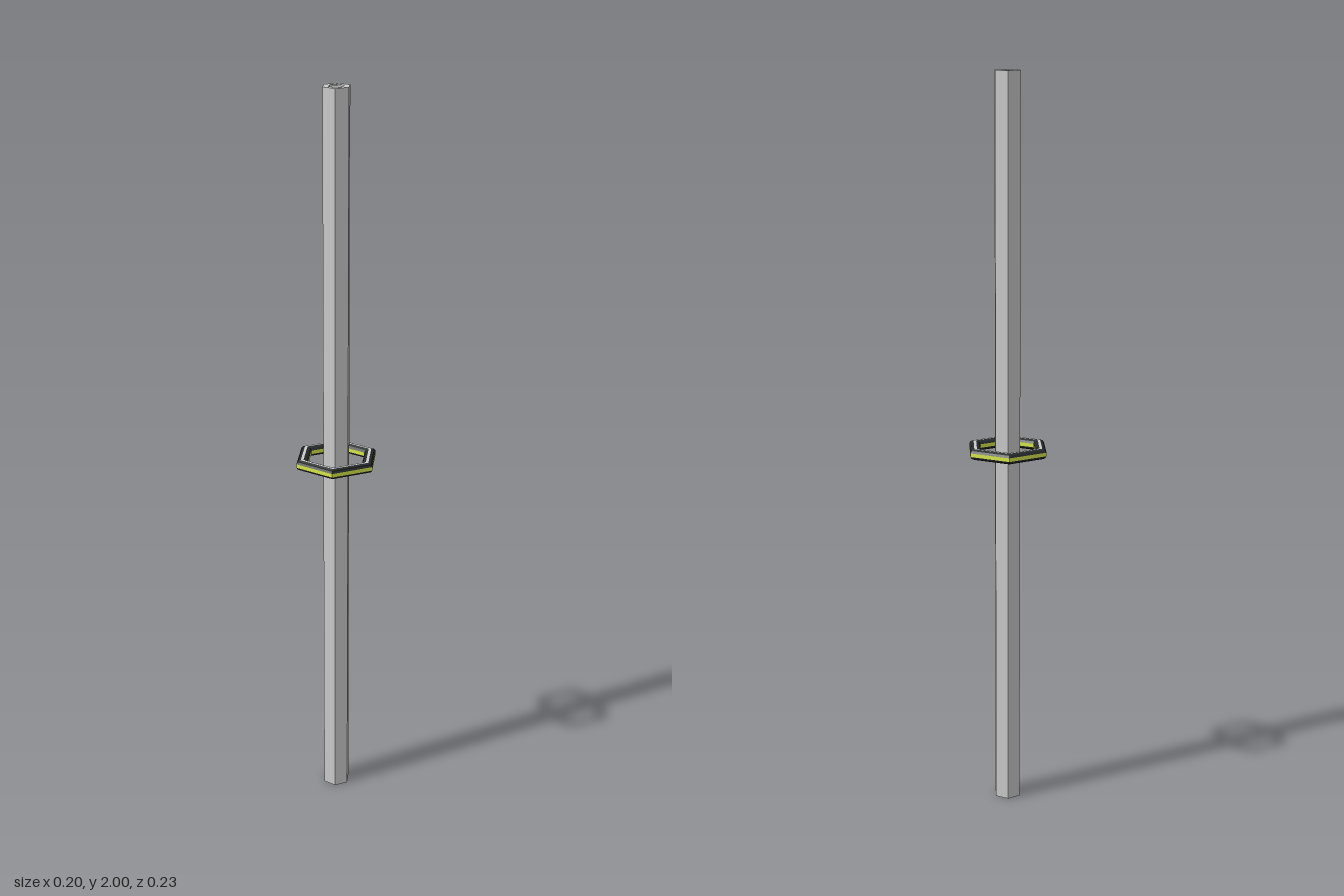
import * as THREE from 'three';

const SIDES = 6;
const CORNER = 1 / Math.cos(Math.PI / SIDES); // flat radius -> corner radius

const material = (color) => new THREE.MeshStandardMaterial({ color, flatShading: true });

// Hexagonal sweep of a [flat radius, height] profile, with corners on +z and -z
function hexLathe(name, profile, mat) {
  const points = profile.map(([r, y]) => new THREE.Vector2(r * CORNER, y));
  const mesh = new THREE.Mesh(new THREE.LatheGeometry(points, SIDES), mat);
  mesh.name = name;
  return mesh;
}

export function createModel() {
  const model = new THREE.Group();
  model.name = 'poleWithRing';
  const grey = material(0xcccccc);
  const black = material(0x262a2a);
  const yellow = material(0xd8e84a);

  // Solid hexagonal pole with a shallow inset on its top end
  model.add(hexLathe('pole', [
    [0, 0], [0.033, 0], [0.033, 2], [0.0185, 2], [0.0185, 1.996], [0, 1.996],
  ], grey));

  // Hexagonal ring floating around the middle of the pole
  const ring = new THREE.Group();
  ring.name = 'ring';
  ring.position.y = 1;
  const R = 0.087, H = 0.0145, band = 0.005, trim = 0.0035, bevel = 0.011;

  // Black casing: the upper and lower bevels of the tube
  ring.add(hexLathe('upperOuterCasing', [[R + H, band], [R + bevel, bevel], [R + trim, H]], black));
  ring.add(hexLathe('upperInnerCasing', [[R - trim, H], [R - bevel, bevel], [R - H, band]], black));
  ring.add(hexLathe('lowerCasing', [
    [R - H, -band], [R - bevel, -bevel], [R - trim, -H],
    [R + trim, -H], [R + bevel, -bevel], [R + H, -band],
  ], black));

  // Yellow bands on the outer and inner faces, grey trim on top
  ring.add(hexLathe('outerBand', [[R + H, -band], [R + H, band]], yellow));
  ring.add(hexLathe('innerBand', [[R - H, band], [R - H, -band]], yellow));
  ring.add(hexLathe('topTrim', [[R + trim, H], [R - trim, H]], grey));

  model.add(ring);
  return model;
}
